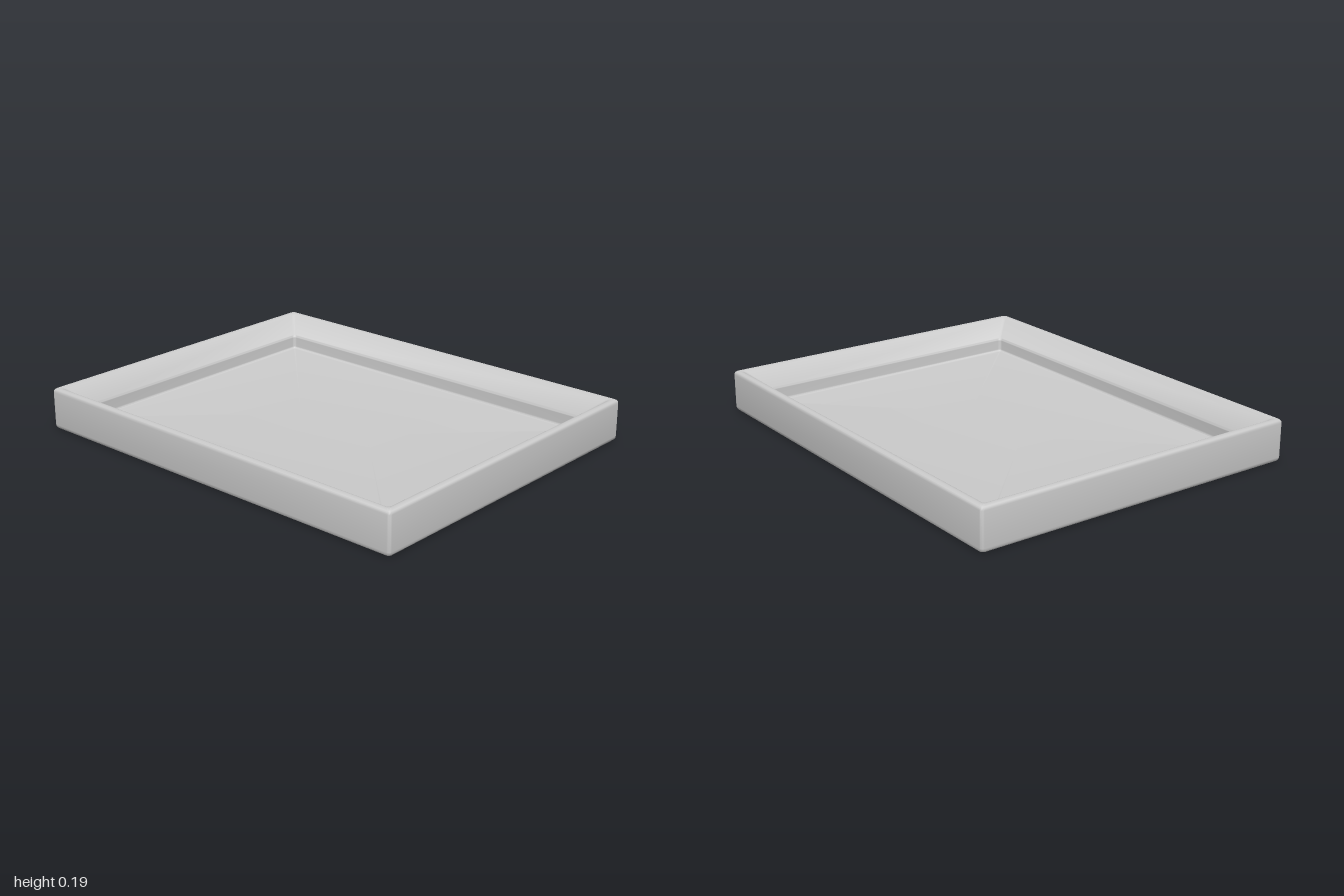
import * as THREE from 'three';
import { toCreasedNormals } from 'three/addons/utils/BufferGeometryUtils.js';

const HALF_X = 1, HALF_Z = 0.8, CORNER = 0.015, CORNER_STEPS = 4, FILLET_STEPS = 4;

// Wall section from the underside centre, over the rim, to the floor centre:
// [inset from the outer edge, height, fillet length]
const SECTION = [
  [0.8, 0, 0],
  [0, 0, 0.022],
  [0, 0.195, 0.018],
  [0.03, 0.195, 0.011],
  [0.13, 0.115, 0.008],
  [0.13, 0.05, 0.012],
  [0.8, 0.05, 0],
];

// Round each inner corner of the section with a short curve
function filletedSection() {
  const pts = SECTION.map(([x, y]) => new THREE.Vector2(x, y));
  return pts.flatMap((p, i) => {
    const d = SECTION[i][2];
    if (!d) return [p];
    const toward = (q) => q.clone().sub(p).setLength(d).add(p);
    return new THREE.QuadraticBezierCurve(toward(pts[i - 1]), p, toward(pts[i + 1])).getPoints(FILLET_STEPS);
  });
}

// One rounded rectangle, inset from the outer edge, at height y
function rectangleLoop(inset, y) {
  const hx = HALF_X - inset, hz = HALF_Z - inset, r = Math.min(CORNER, hz);
  const loop = [];
  [[1, 1], [-1, 1], [-1, -1], [1, -1]].forEach(([sx, sz], k) => {
    for (let i = 0; i <= CORNER_STEPS; i++) {
      const a = (k + i / CORNER_STEPS) * Math.PI / 2;
      loop.push([sx * (hx - r) + r * Math.cos(a), y, sz * (hz - r) + r * Math.sin(a)]);
    }
  });
  return loop;
}

// Skin the rectangles into one closed shell
function trayGeometry() {
  const loops = filletedSection().map((p) => rectangleLoop(p.x, p.y));
  const n = loops[0].length, index = [];
  for (let i = 0; i < loops.length - 1; i++) {
    for (let j = 0; j < n; j++) {
      const k = (j + 1) % n;
      const a = i * n + j, b = i * n + k, c = b + n, d = a + n;
      index.push(a, d, b, b, d, c);
    }
  }
  const geometry = new THREE.BufferGeometry();
  geometry.setAttribute('position', new THREE.Float32BufferAttribute(loops.flat(2), 3));
  geometry.setIndex(index);
  return toCreasedNormals(geometry, 0.7);
}

export function createModel() {
  const group = new THREE.Group();
  group.name = 'servingTray';
  const tray = new THREE.Mesh(trayGeometry(), new THREE.MeshStandardMaterial({ color: 0xcccccc }));
  tray.name = 'trayShell';
  group.add(tray);
  return group;
}
